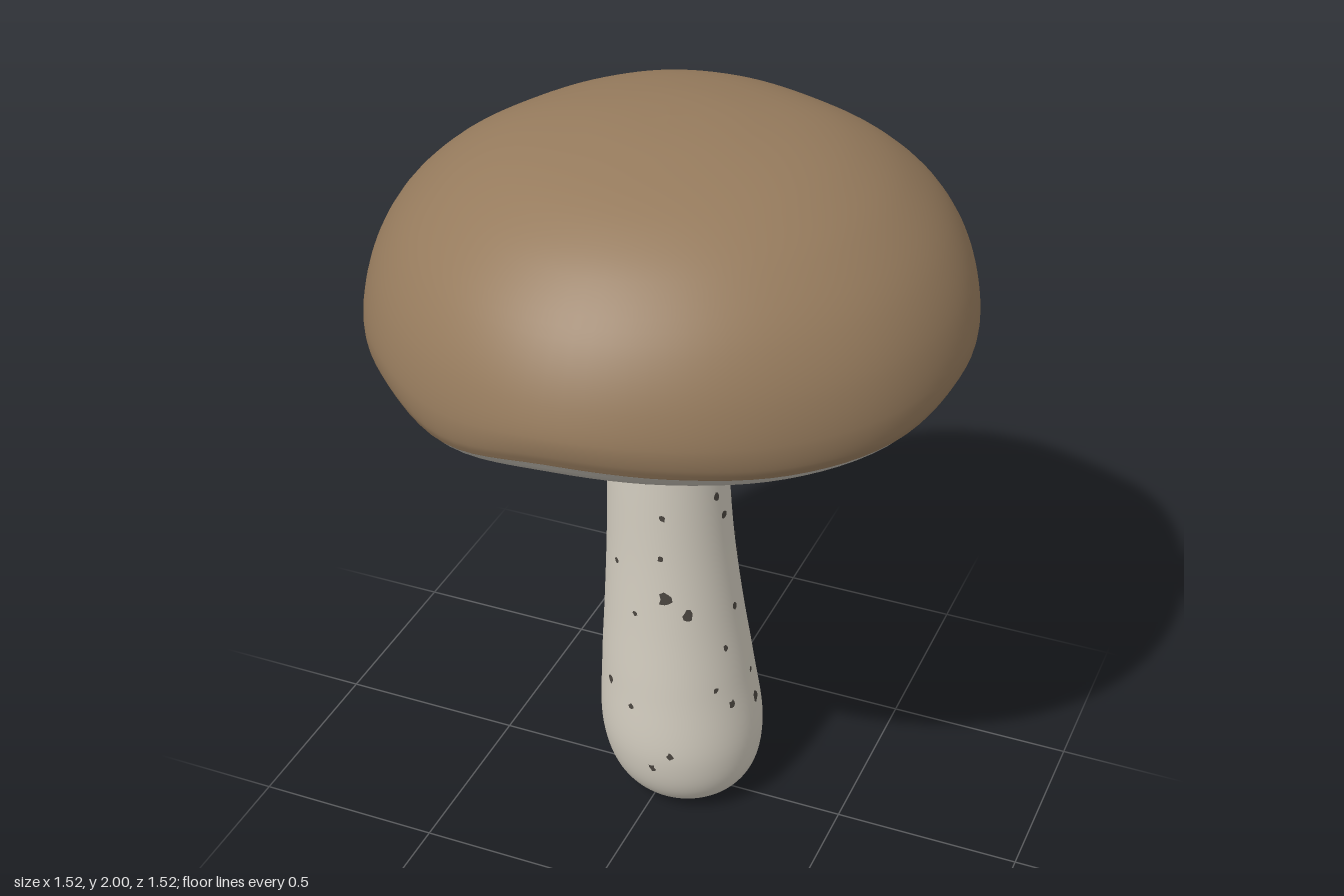
import * as THREE from 'three';

const SEG = 96;

// Cap outline radius and rim height at 16 equal angles, from +x towards +z
const OUTLINE = [0.757, 0.75, 0.736, 0.741, 0.757, 0.757, 0.753, 0.755,
  0.76, 0.715, 0.728, 0.767, 0.76, 0.745, 0.783, 0.765];
const RIM = [1.43, 1.41, 1.415, 1.445, 1.46, 1.41, 1.435, 1.41,
  1.44, 1.42, 1.45, 1.42, 1.41, 1.42, 1.455, 1.415];

// Smooth periodic lookup in a table
function around(table, theta) {
  const n = table.length;
  const t = ((theta / (Math.PI * 2)) % 1 + 1) % 1 * n;
  const i = Math.floor(t), f = t - i;
  const [a, b, c, d] = [-1, 0, 1, 2].map((k) => table[(i + k + n) % n]);
  return b + 0.5 * f * (c - a + f * (2 * a - 5 * b + 4 * c - d + f * (3 * (b - c) + d - a)));
}

// Smooth profile of (radius, height) through a few points
function profile(points, count) {
  const curve = new THREE.CatmullRomCurve3(points.map(([r, y]) => new THREE.Vector3(r, y, 0)), false, 'centripetal');
  return curve.getPoints(count);
}

// Closed rings joined from top to bottom, with a seamless wrap
function loft(rows, place) {
  const pos = [], idx = [];
  rows.forEach((row) => {
    for (let j = 0; j < SEG; j++) pos.push(...place(row, j / SEG * Math.PI * 2));
  });
  for (let i = 0; i < rows.length - 1; i++) {
    for (let j = 0; j < SEG; j++) {
      const k = (j + 1) % SEG;
      const a = i * SEG + j, b = i * SEG + k, c = a + SEG, d = b + SEG;
      idx.push(a, b, c, b, d, c);
    }
  }
  const geo = new THREE.BufferGeometry();
  geo.setAttribute('position', new THREE.Float32BufferAttribute(pos, 3));
  geo.setIndex(idx);
  geo.computeVertexNormals();
  return geo;
}

// Wavy cap surface: the outline and rim fade out towards the middle
function capPoint({ x: s, y: h }, theta) {
  const r = s * THREE.MathUtils.lerp(0.755, around(OUTLINE, theta), Math.min(1, s));
  const wave = Math.exp(-(((h - 1.43) / 0.12) ** 2)) * s ** 5;
  return [r * Math.cos(theta), h + (around(RIM, theta) - 1.43) * wave, r * Math.sin(theta)];
}

// The stem leans slightly, with its foot shifted towards +x
const stemProfile = profile([[0.24, 1.345], [0.2, 1.335], [0.163, 1.315], [0.149, 1.27], [0.151, 1.15],
  [0.158, 1.0], [0.168, 0.8], [0.185, 0.6], [0.206, 0.4], [0.22, 0.2], [0.196, 0.09],
  [0.15, 0.03], [0.085, 0.002]], 90);
const leanX = (y) => -0.01 + 0.062 * Math.max(0, 1 - y / 1.1) ** 1.6;

function stemPoint({ x: r, y }, theta) {
  return [leanX(y) + r * Math.cos(theta), y, -0.008 + r * Math.sin(theta)];
}

function stemRadius(y) {
  for (let i = 0; i < stemProfile.length - 1; i++) {
    const a = stemProfile[i], b = stemProfile[i + 1];
    if (y <= a.y && y >= b.y) return THREE.MathUtils.lerp(a.x, b.x, (a.y - y) / (a.y - b.y));
  }
  return 0.15;
}

// Specks: degrees around the stem, height, half size
const SPECKS = [
  [73, 0.71, 0.024], [55, 0.66, 0.02], [88, 1.06, 0.014], [128, 1.08, 0.013], [80, 1.285, 0.016],
  [73, 0.95, 0.011], [122, 0.78, 0.011], [76, 0.83, 0.01], [100, 0.65, 0.009], [160, 0.46, 0.013],
  [127, 0.4, 0.014], [104, 0.36, 0.012], [76, 0.23, 0.013], [90, 0.18, 0.013], [38, 1.24, 0.012],
  [-22, 0.74, 0.02], [6, 0.63, 0.012], [18, 0.98, 0.015], [8, 0.91, 0.014], [9, 1.12, 0.012],
  [-17, 1.29, 0.016], [-3, 0.32, 0.022], [26, 0.36, 0.013], [-3, 0.41, 0.011], [-38, 0.28, 0.013],
  [24, 0.53, 0.011], [38, 0.42, 0.011], [-16, 0.93, 0.011], [-20, 0.8, 0.01],
  [215, 0.2, 0.024], [242, 0.22, 0.013], [240, 0.37, 0.012], [243, 0.5, 0.012], [236, 0.74, 0.012],
  [178, 0.63, 0.012], [222, 0.95, 0.013], [292, 1.05, 0.018], [315, 0.85, 0.014], [335, 0.45, 0.012],
  [318, 0.45, 0.012], [300, 0.45, 0.012], [316, 0.65, 0.008], [310, 1.28, 0.015],
];

// Ragged little patches laid over the stem surface
function speckGeometry() {
  let seed = 7;
  const rand = () => (seed = (seed * 16807) % 2147483647) / 2147483647;
  const pos = [], idx = [], sides = 9;
  for (const [deg, y0, size] of SPECKS) {
    const start = pos.length / 3, theta0 = THREE.MathUtils.degToRad(deg);
    const add = (u, v) => {
      const y = y0 + v, r = stemRadius(y);
      pos.push(...stemPoint({ x: r + 0.003, y }, theta0 + u / r));
    };
    add(0, 0);
    for (let k = 0; k < sides; k++) {
      const a = -k / sides * Math.PI * 2, q = size * (0.55 + 0.5 * rand());
      add(q * Math.cos(a) * 0.9, q * Math.sin(a));
      idx.push(start, start + 1 + k, start + 1 + (k + 1) % sides);
    }
  }
  const geo = new THREE.BufferGeometry();
  geo.setAttribute('position', new THREE.Float32BufferAttribute(pos, 3));
  geo.setIndex(idx);
  geo.computeVertexNormals();
  return geo;
}

export function createModel() {
  const material = (name, color) => {
    const m = new THREE.MeshStandardMaterial({ color });
    m.name = name;
    return m;
  };
  const capBrown = material('capBrown', 0x967b5d);
  const gillGrey = material('gillGrey', 0xb9b4aa);
  const stemCream = material('stemCream', 0xd0cabd);
  const speckDark = material('speckDark', 0x4a453f);

  const group = new THREE.Group();
  group.name = 'mushroom';
  const add = (name, geo, mat) => {
    const mesh = new THREE.Mesh(geo, mat);
    mesh.name = name;
    group.add(mesh);
  };

  // Cap: brown dome, then a pale underside with faint rings, in one smooth surface
  const dome = profile([[0, 2], [0.14, 1.996], [0.27, 1.985], [0.46, 1.955], [0.6, 1.915], [0.74, 1.85],
    [0.88, 1.745], [0.965, 1.63], [1, 1.52], [0.993, 1.46], [0.975, 1.43]], 50);
  const under = profile([[0.975, 1.43], [0.94, 1.402], [0.87, 1.38], [0.7, 1.357], [0.5, 1.344],
    [0.35, 1.338], [0.2, 1.34]], 70).slice(1);
  under.forEach((p) => {
    if (p.x < 0.88) p.y += 0.0025 * Math.sin(p.x * 75);
  });
  const capGeo = loft([...dome, ...under], capPoint);
  const domeCount = (dome.length - 1) * SEG * 6;
  capGeo.addGroup(0, domeCount, 0);
  capGeo.addGroup(domeCount, under.length * SEG * 6, 1);
  add('cap', capGeo, [capBrown, gillGrey]);

  // Stem: flared neck, bulbous foot, closed flat bottom
  add('stem', loft([...stemProfile, new THREE.Vector3(0, 0, 0)], stemPoint), stemCream);
  add('stemSpecks', speckGeometry(), speckDark);

  return group;
}
